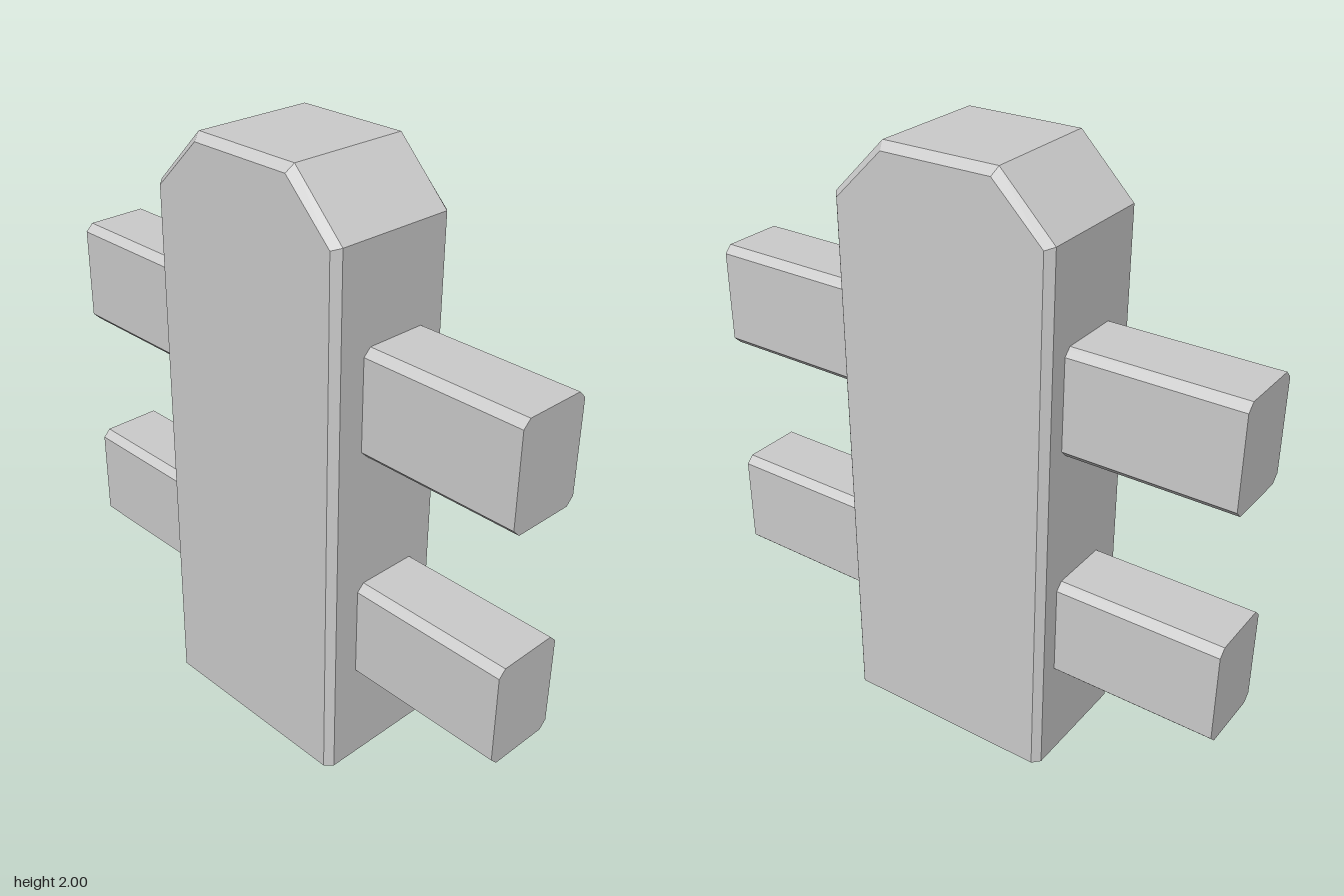
import * as THREE from 'three';

const material = new THREE.MeshStandardMaterial({ color: 0xcccccc, flatShading: true, side: THREE.DoubleSide });
const BEVEL = 0.025;

// Front outline of the post, anticlockwise from the lower right corner
const outline = (halfWidth, shoulderY, halfTop, topY) => [
  [halfWidth, 0], [halfWidth, shoulderY], [halfTop, topY],
  [-halfTop, topY], [-halfWidth, shoulderY], [-halfWidth, 0],
];

// Hollow post, open underneath, with bevelled front and back rims
function postGeometry() {
  const full = outline(0.381, 1.815, 0.197, 2);
  const inset = outline(0.358, 1.807, 0.187, 1.975);
  const sections = [[inset, 0.23], [full, 0.205], [full, -0.205], [inset, -0.23]]
    .map(([pts, z]) => pts.map(([x, y]) => [x, y, z]));
  const positions = [];
  const tri = (a, b, c) => positions.push(...a, ...b, ...c);
  const n = full.length;

  // Walls between neighbouring sections
  for (let s = 0; s < sections.length - 1; s++) {
    const a = sections[s], b = sections[s + 1];
    for (let i = 0; i < n - 1; i++) {
      tri(a[i], b[i], b[i + 1]);
      tri(a[i], b[i + 1], a[i + 1]);
    }
  }
  // Front and back faces
  const front = sections[0], back = sections[3];
  for (let i = 1; i < n - 1; i++) {
    tri(front[0], front[i], front[i + 1]);
    tri(back[0], back[i + 1], back[i]);
  }
  const geometry = new THREE.BufferGeometry();
  geometry.setAttribute('position', new THREE.Float32BufferAttribute(positions, 3));
  geometry.computeVertexNormals();
  return geometry;
}

// Rail with chamfered long edges, running along x
function railGeometry(length, height, depth) {
  const w = depth / 2, h = height / 2, c = BEVEL;
  const shape = new THREE.Shape([
    [w - c, -h], [w, -h + c], [w, h - c], [w - c, h],
    [-w + c, h], [-w, h - c], [-w, -h + c], [-w + c, -h],
  ].map(([x, y]) => new THREE.Vector2(x, y)));
  return new THREE.ExtrudeGeometry(shape, { depth: length, bevelEnabled: false })
    .translate(0, 0, -length / 2)
    .rotateY(Math.PI / 2);
}

export function createModel() {
  const model = new THREE.Group();
  model.name = 'fencePicket';

  const post = new THREE.Mesh(postGeometry(), material);
  post.name = 'post';
  model.add(post);

  // Two rails passing through the post
  const rail = railGeometry(1.88, 0.356, 0.257);
  for (const [name, y] of [['lowerRail', 0.506], ['upperRail', 1.314]]) {
    const mesh = new THREE.Mesh(rail, material);
    mesh.name = name;
    mesh.position.set(0, y, -0.014);
    model.add(mesh);
  }
  return model;
}
